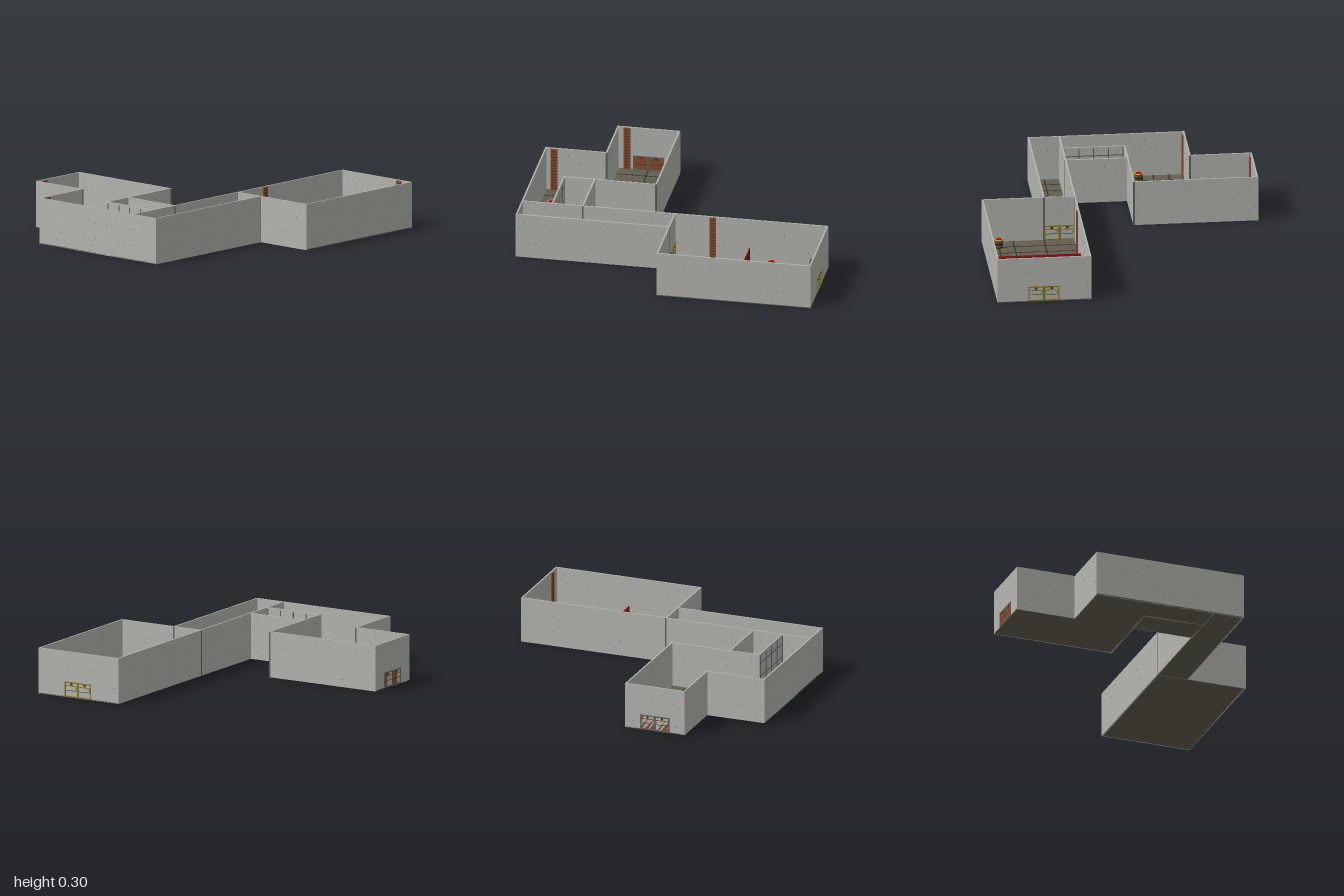
import * as THREE from 'three';
import { mergeGeometries } from 'three/addons/utils/BufferGeometryUtils.js';

const mat = (name, color) => {
  const m = new THREE.MeshStandardMaterial({ color });
  m.name = name;
  return m;
};
const M = {
  wall: mat('concrete grey', 0xb4b5af),
  trim: mat('seam grey', 0x62635f),
  floor: mat('floor brown', 0x625d50),
  joint: mat('joint dark', 0x2e2c27),
  yellow: mat('hazard yellow', 0x85751a),
  bright: mat('rim yellow', 0xc2b04a),
  rust: mat('rust', 0x8a4a2c),
  red: mat('signal red', 0xa01015),
  debris: mat('debris grey', 0xb9b9b1),
};
const H = 0.3, T = 0.01, FLOOR = 0.006;

const boxGeo = (w, h, d, x, y, z) => new THREE.BoxGeometry(w, h, d).translate(x, y, z);

function add(parent, name, geos, material) {
  const mesh = new THREE.Mesh(Array.isArray(geos) ? mergeGeometries(geos) : geos, material);
  mesh.name = name;
  parent.add(mesh);
  return mesh;
}

function group(parent, name, x = 0, y = 0, z = 0, turn = 0) {
  const g = new THREE.Group();
  g.name = name;
  g.position.set(x, y, z);
  g.rotation.y = turn;
  parent.add(g);
  return g;
}

// Straight wall with rows of bolts on both faces
function wall(parent, x1, z1, x2, z2) {
  const cx = v => THREE.MathUtils.clamp(v, -0.995, 0.995);
  const cz = v => THREE.MathUtils.clamp(v, -0.895, 0.895);
  const ax = cx(x1), az = cz(z1), bx = cx(x2), bz = cz(z2);
  const len = Math.hypot(bx - ax, bz - az);
  const g = group(parent, 'wall', (ax + bx) / 2, 0, (az + bz) / 2, -Math.atan2(bz - az, bx - ax));
  add(g, 'wallPanel', boxGeo(len + T, H, T, 0, H / 2, 0), M.wall);
  const bolts = [];
  const n = Math.round(len / 0.1);
  for (let i = 0; i < n; i++) {
    const u = -len / 2 + (i + 0.5) * len / n;
    const spots = [[0, 0.25], [0, 0.05], [-0.03, 0.2], [0.03, 0.2], [-0.03, 0.1], [0.03, 0.1]];
    spots.forEach(([du, y], k) => {
      if ((i + k) % 3 !== 2) bolts.push(boxGeo(0.004, 0.004, T + 0.001, u + du, y, 0));
    });
  }
  add(g, 'wallBolts', bolts, M.trim);
}

// Double door shown on both faces of a wall; local x runs along the wall
function doubleDoor(parent, x, z, turn, rusty) {
  const g = group(parent, 'doubleDoor', x, 0, z, turn);
  const frame = [], leaves = [], bands = [], slots = [];
  for (const s of [-1, 1]) {
    const cx = s * 0.05;
    for (const e of [-0.046, 0.046]) frame.push(boxGeo(0.008, 0.1, T + 0.008, cx + e, 0.053, 0));
    for (const y of [0.007, 0.099]) frame.push(boxGeo(0.1, 0.008, T + 0.008, cx, y, 0));
    leaves.push(boxGeo(0.085, 0.088, T + 0.003, cx, 0.053, 0));
    bands.push(boxGeo(0.084, 0.005, T + 0.005, cx, 0.076, 0));
    bands.push(boxGeo(0.006, 0.025, T + 0.005, cx + 0.036, 0.062, 0));
    slots.push(boxGeo(0.016, 0.012, T + 0.006, cx, 0.088, 0));
    slots.push(boxGeo(0.075, 0.003, T + 0.005, cx, 0.046, 0));
  }
  add(g, 'doorFrame', frame, rusty ? M.trim : M.yellow);
  add(g, 'doorLeaves', leaves, rusty ? M.rust : M.wall);
  add(g, 'doorBands', bands, rusty ? M.rust : M.yellow);
  add(g, 'doorSlots', slots, M.joint);
}

// Full-height rusty ladder strip against a wall
function ladder(parent, x, z, turn) {
  const g = group(parent, 'ladder', x, 0, z, turn);
  const rungs = [];
  for (let y = 0.02; y < H; y += 0.02) rungs.push(boxGeo(0.03, 0.004, 0.01, 0, y, 0));
  add(g, 'ladderStrip', boxGeo(0.042, H - 0.006, 0.008, 0, H / 2, 0), M.rust);
  add(g, 'ladderRungs', rungs, M.joint);
}

// Barrel with a banded rim and a red lid
function barrel(parent, x, z) {
  const g = group(parent, 'barrel', x, FLOOR, z);
  const disc = (r, h, y) => new THREE.CylinderGeometry(r, r, h, 16).translate(0, y, 0);
  add(g, 'barrelBody', disc(0.027, 0.056, 0.028), M.joint);
  add(g, 'barrelHoops', [disc(0.029, 0.006, 0.015), disc(0.029, 0.006, 0.042)], M.yellow);
  add(g, 'barrelRim', new THREE.TorusGeometry(0.026, 0.004, 6, 20).rotateX(Math.PI / 2).translate(0, 0.056, 0), M.bright);
  add(g, 'barrelLid', disc(0.019, 0.004, 0.058), M.red);
}

export function createModel() {
  const model = new THREE.Group();
  model.name = 'bunker';

  // Floors: x range, z range, tile joint positions along x and z
  const rooms = [
    [-0.6, -0.2, -0.9, -0.1, [-0.4, -0.3], [-0.8, -0.7, -0.6, -0.4, -0.3, -0.2]],
    [-1, -0.6, -0.5, -0.1, [-0.9, -0.8, -0.7], [-0.4, -0.3, -0.2]],
    [-1, -0.6, -0.1, 0.3, [-0.9, -0.7], [-0.1, 0.1, 0.2]],
    [-1, 0, 0.3, 0.5, [-0.9, -0.8, -0.7, -0.5, -0.4, -0.3, -0.1], [0.4]],
    [0, 1, 0.3, 0.9, [0.1, 0.2, 0.3, 0.5, 0.6, 0.7, 0.9], [0.5, 0.7, 0.8]],
  ];
  for (const [x1, x2, z1, z2, xs, zs] of rooms) {
    const w = x2 - x1, d = z2 - z1, cx = (x1 + x2) / 2, cz = (z1 + z2) / 2;
    add(model, 'floor', boxGeo(w, FLOOR, d, cx, FLOOR / 2, cz), M.floor);
    add(model, 'tileJoints', [
      ...xs.map(x => boxGeo(0.007, 0.001, d, x, FLOOR + 0.0005, cz)),
      ...zs.map(z => boxGeo(w, 0.001, 0.007, cx, FLOOR + 0.0006, z)),
    ], M.joint);
  }

  // Outer walls follow the outline, then the partitions
  const outline = [[-0.6, -0.9], [-0.2, -0.9], [-0.2, -0.1], [-0.6, -0.1], [-0.6, 0.3], [1, 0.3],
    [1, 0.9], [0, 0.9], [0, 0.5], [-1, 0.5], [-1, -0.5], [-0.6, -0.5]];
  outline.forEach(([x, z], i) => {
    const [nx, nz] = outline[(i + 1) % outline.length];
    wall(model, x, z, nx, nz);
  });
  wall(model, -1, 0.3, -0.6, 0.3);
  wall(model, -0.8, -0.1, -0.6, -0.1);
  wall(model, -0.8, -0.1, -0.8, 0.3);
  wall(model, 0, 0.3, 0, 0.5);

  // Seams where walls meet
  add(model, 'wallSeams', [[0, 0.5], [0, 0.3], [-0.2, -0.1], [-0.6, 0.3], [-0.6, -0.5]]
    .map(([x, z]) => boxGeo(T + 0.001, H - 0.002, T + 0.001, x, H / 2, z)), M.trim);

  // Window lattice on the cell wall
  const bars = [];
  for (let i = 0; i <= 4; i++) bars.push(boxGeo(T + 0.006, 0.28, 0.006, -0.8, 0.15, -0.09 + i * 0.095));
  for (const y of [0.06, 0.15, 0.24]) bars.push(boxGeo(T + 0.005, 0.006, 0.38, -0.8, y, 0.1));
  add(model, 'cellLattice', bars, M.trim);

  // Doors
  doubleDoor(model, 0.9935, 0.6, Math.PI / 2, false);
  doubleDoor(model, 0, 0.4, Math.PI / 2, false);
  doubleDoor(model, -0.4, -0.8935, 0, true);

  // Low red barrier across the big room
  const posts = [];
  for (let z = 0.35; z < 0.9; z += 0.05) posts.push(boxGeo(0.008, 0.1, 0.005, 0.49, 0.056, z));
  for (const y of [0.035, 0.07]) posts.push(boxGeo(0.008, 0.004, 0.58, 0.49, y, 0.6));
  add(model, 'barrierPanel', boxGeo(0.004, 0.1, 0.58, 0.49, 0.056, 0.6), M.red);
  add(model, 'barrierLattice', posts, M.joint);

  // Ladders
  ladder(model, -0.94, -0.488, 0);
  ladder(model, -0.54, -0.882, 0);
  ladder(model, 0.25, 0.312, 0);
  ladder(model, 0.982, 0.8, Math.PI / 2);

  // Barrels
  for (const [x, z] of [[-0.9, -0.2], [-0.21, 0.41], [0.65, 0.4], [0.89, 0.45], [0.89, 0.75], [0.1, 0.8]])
    barrel(model, x, z);

  // Heaps of pale debris
  for (const [x, z] of [[-0.26, -0.8], [-0.66, 0.25], [0.81, 0.37]]) {
    const bits = [];
    for (let i = 0; i < 7; i++) {
      const a = i * 2.4, r = 0.008 + 0.0025 * i;
      bits.push(new THREE.BoxGeometry(0.022, 0.006, 0.012).rotateY(a)
        .translate(x + Math.cos(a) * r, FLOOR + 0.004, z + Math.sin(a) * r));
    }
    add(model, 'debrisHeap', bits, M.debris);
  }

  // Floor drains and rusty scraps
  for (const [x, z] of [[-0.64, -0.46], [0.94, 0.85]])
    add(model, 'drainRing', new THREE.TorusGeometry(0.013, 0.004, 6, 16).rotateX(Math.PI / 2)
      .translate(x, FLOOR + 0.003, z), M.joint);
  add(model, 'rustyScraps', [
    boxGeo(0.006, 0.006, 0.05, -0.3, 0.009, -0.2), boxGeo(0.025, 0.006, 0.02, -0.69, 0.009, 0.4),
    boxGeo(0.05, 0.006, 0.006, 0.2, 0.009, 0.35),
  ], M.rust);
  return model;
}
